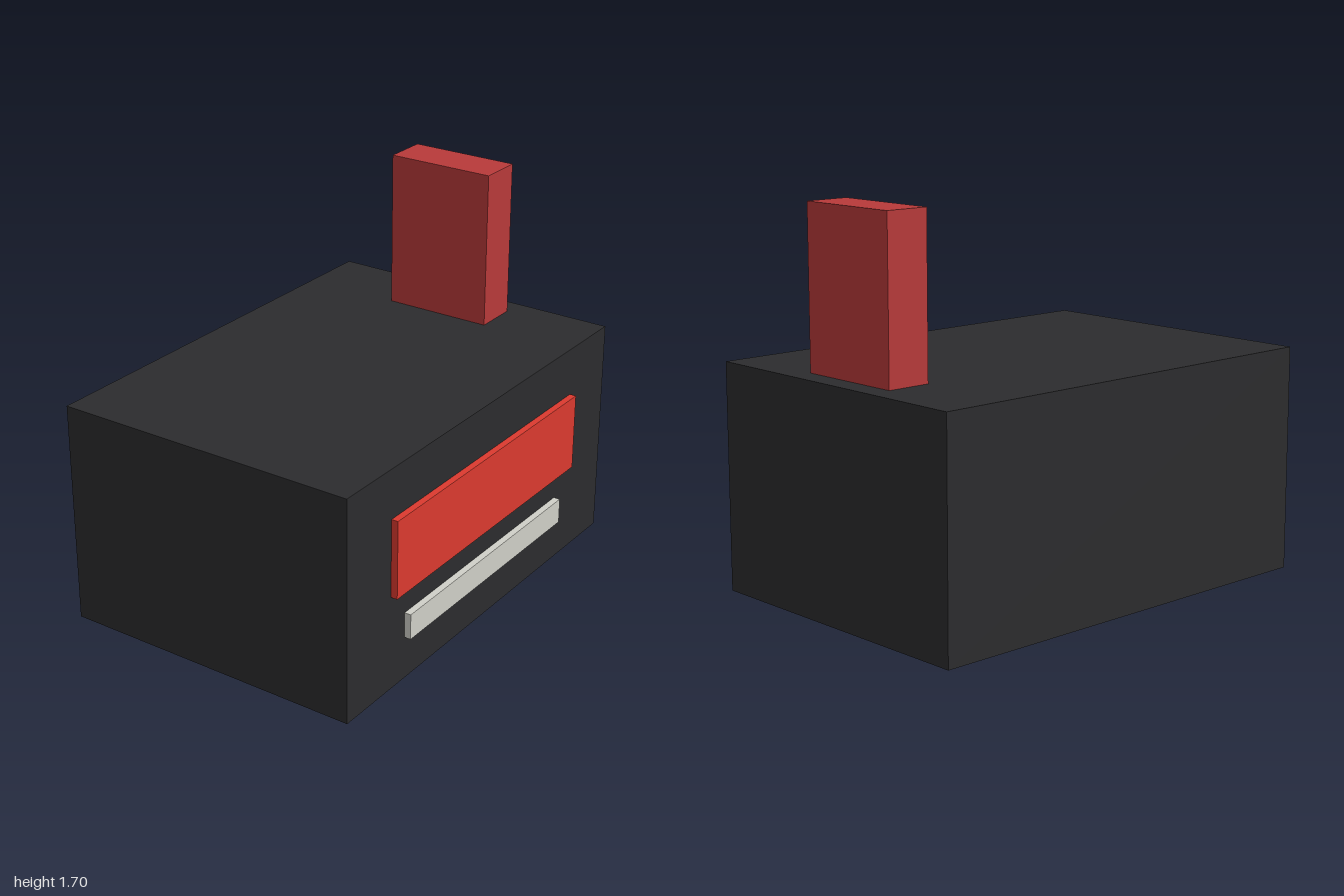
import * as THREE from 'three';

// Adds a box spanning the given [min, max] range on each axis.
function addBox(group, name, color, [x0, x1], [y0, y1], [z0, z1]) {
  const mesh = new THREE.Mesh(
    new THREE.BoxGeometry(x1 - x0, y1 - y0, z1 - z0),
    new THREE.MeshStandardMaterial({ color })
  );
  mesh.name = name;
  mesh.position.set((x0 + x1) / 2, (y0 + y1) / 2, (z0 + z1) / 2);
  group.add(mesh);
}

export function createModel() {
  const model = new THREE.Group();
  model.name = 'boxWithLever';

  const front = 0.685;
  const plate = [front, 0.715]; // thin plates standing proud of the front

  // Main housing
  addBox(model, 'body', 0x2c2c2e, [-1, 1], [0, 1], [-0.715, front]);
  // Front plates
  addBox(model, 'displayPanel', 0xdc3a2f, [-0.7, 0.7], [0.43, 0.78], plate);
  addBox(model, 'lowerStrip', 0xd0d0c8, [-0.6, 0.6], [0.195, 0.31], plate);
  // Upright block on the top, near the left side
  addBox(model, 'uprightBlock', 0xb83a3a, [0.7, 0.9], [1, 1.7], [-0.265, 0.235]);

  return model;
}
